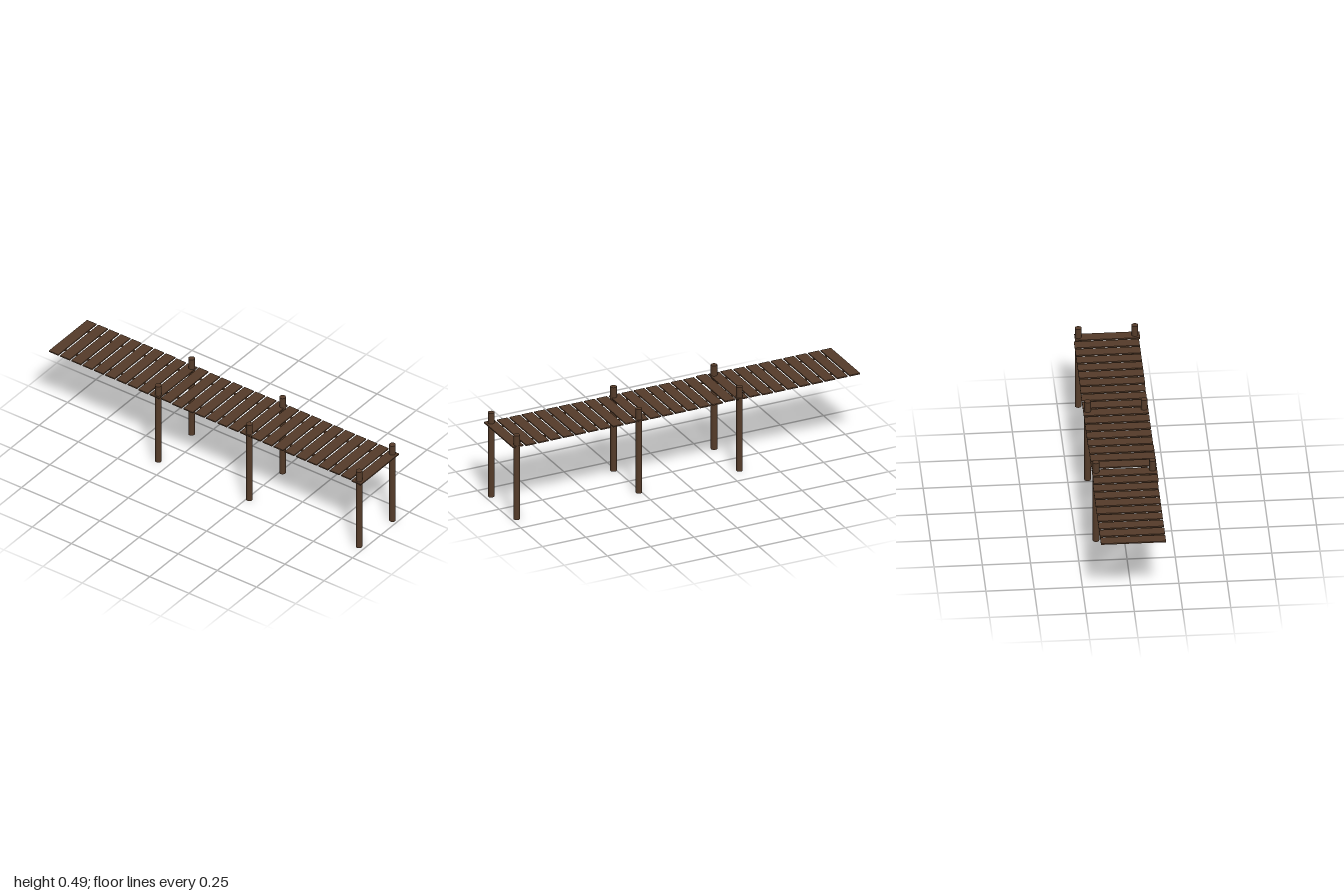
import * as THREE from 'three';

export function createModel() {
  const pier = new THREE.Group();
  pier.name = 'pier';
  const wood = new THREE.MeshStandardMaterial({ color: 0x553c2a });

  const add = (geometry, name, x, y, z) => {
    const mesh = new THREE.Mesh(geometry, wood);
    mesh.name = name;
    mesh.position.set(x, y, z);
    pier.add(mesh);
    return mesh;
  };

  // Deck planks, laid crosswise from back to front with slight sideways drift
  const count = 28, pitch = 1.94 / (count - 1);
  const plank = new THREE.BoxGeometry(0.337, 0.007, 0.06);
  const drift = i => (i < 8 ? 0.004 : i < 13 ? -0.001 : i < 21 ? 0.001 : i < 27 ? -0.001 : -0.008);
  for (let i = 0; i < count; i++) {
    const raised = i === 10 ? 0.0035 : 0; // one loose board
    add(plank, 'plank', drift(i), 0.4215 + raised, -0.97 + i * pitch);
  }

  // Two long bearers under the deck
  const bearer = new THREE.BoxGeometry(0.014, 0.004, 1.95);
  for (const x of [-0.1, 0.1]) add(bearer, 'bearer', x, 0.4165, 0);

  // Three pairs of round posts rising through the deck: [x, bottom, z]
  const post = new THREE.CylinderGeometry(0.0172, 0.0172, 0.481, 16);
  const posts = [
    [-0.151, 0.004, 0.97], [0.142, 0, 0.97],
    [-0.146, 0.003, 0.266], [0.147, 0.003, 0.266],
    [-0.146, 0.003, -0.315], [0.147, 0.004, -0.315],
  ];
  for (const [x, bottom, z] of posts) add(post, 'post', x, bottom + 0.2405, z);

  return pier;
}
